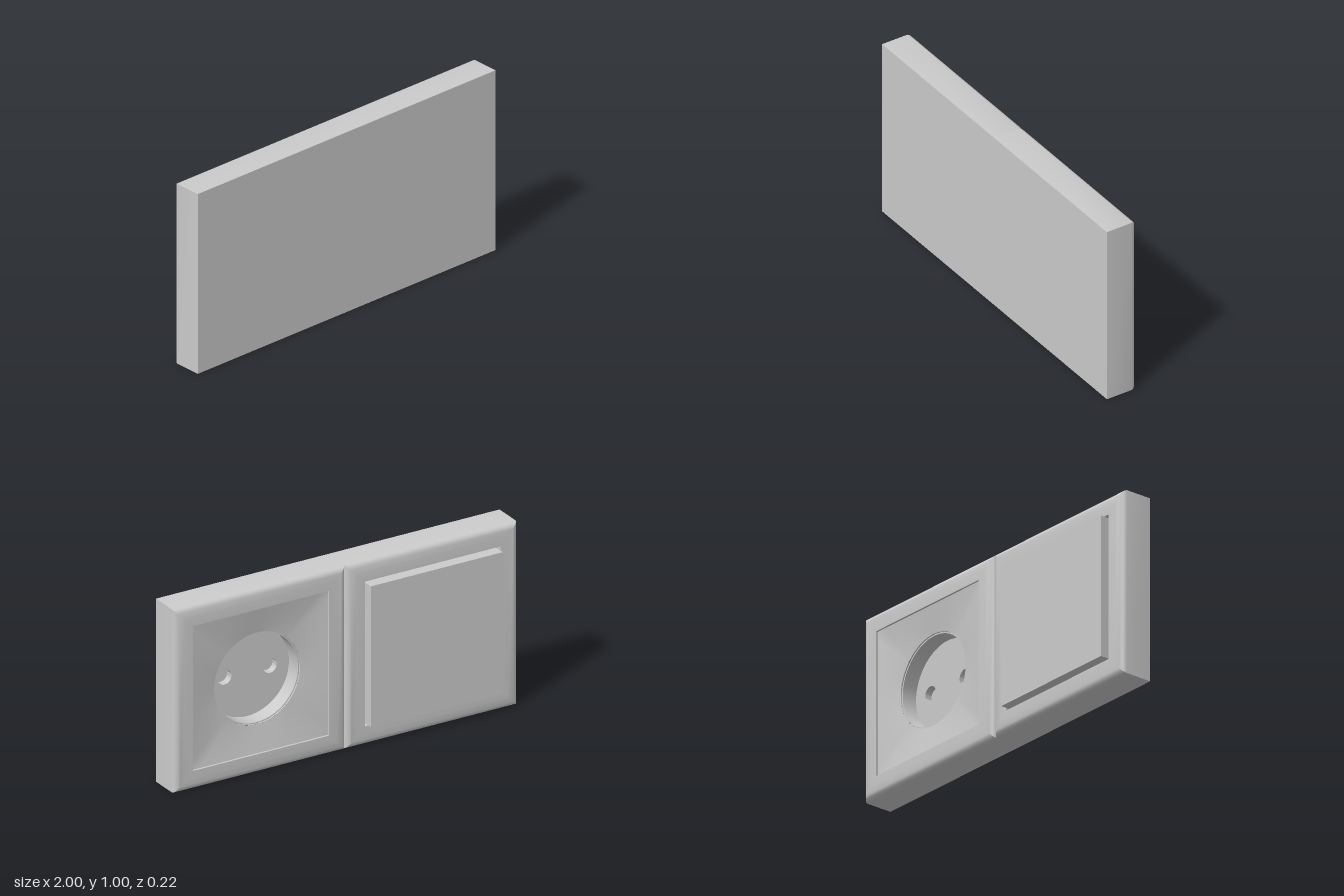
import * as THREE from 'three';
import { toCreasedNormals } from 'three/addons/utils/BufferGeometryUtils.js';

const material = new THREE.MeshStandardMaterial({ color: 0xcccccc });

function addMesh(parent, name, geometry, x = 0, y = 0, z = 0) {
  const mesh = new THREE.Mesh(geometry, material);
  mesh.name = name;
  mesh.position.set(x, y, z);
  parent.add(mesh);
  return mesh;
}

// Lathe around the z axis; profile points are [radius, z]
function latheZ(profile, segments, phiStart = 0) {
  const points = profile.map(([r, z]) => new THREE.Vector2(r, z));
  const geometry = new THREE.LatheGeometry(points, segments, phiStart);
  geometry.rotateX(Math.PI / 2);
  return toCreasedNormals(geometry, 0.55);
}

// Mitred square frame: a four-sided lathe, profile given as half-widths
function squareFrame(profile) {
  return latheZ(profile.map(([h, z]) => [h * Math.SQRT2, z]), 4, Math.PI / 4);
}

// Ruled surface from the square opening down to the round well
function dishGeometry(half, squareZ, radius, rimZ) {
  const geometry = new THREE.RingGeometry(1, 2, 96, 6);
  const pos = geometry.attributes.position;
  for (let i = 0; i < pos.count; i++) {
    const x = pos.getX(i), y = pos.getY(i);
    const r = Math.hypot(x, y), t = r - 1;
    const c = x / r, s = y / r;
    const squareR = half / Math.max(Math.abs(c), Math.abs(s));
    const d = THREE.MathUtils.lerp(radius, squareR, t);
    pos.setXYZ(i, c * d, s * d, THREE.MathUtils.lerp(rimZ, squareZ, t));
  }
  geometry.computeVertexNormals();
  return geometry;
}

export function createModel() {
  const model = new THREE.Group();
  model.name = 'socketAndSwitch';

  // Built with the detailed side towards +z, then turned to the rear
  const panel = new THREE.Group();
  panel.name = 'doublePanel';
  panel.rotation.y = Math.PI;
  model.add(panel);

  const half = 0.395;
  const frameProfile = [
    [0, -0.11], [0.5, -0.11], [0.5, 0.04], [0.497, 0.05], [0.488, 0.059],
    [0.472, 0.066], [0.44, 0.0695], [0.41, 0.071], [half, 0.071],
  ];

  // Socket unit
  const socket = new THREE.Group();
  socket.name = 'socket';
  socket.position.set(-0.5, 0.5, 0);
  panel.add(socket);
  addMesh(socket, 'socketFrame', squareFrame([...frameProfile, [half, 0.055]]));
  addMesh(socket, 'socketDish', dishGeometry(half, 0.06, 0.25, 0.033));

  // Round well with a narrow lip
  const floorZ = -0.06, wellR = 0.243;
  addMesh(socket, 'socketWell', latheZ(
    [[0.25, 0.033], [0.25, 0.026], [wellR, 0.026], [wellR, floorZ]], 64));

  // Well floor with two pin holes
  const pinX = 0.132, pinR = 0.04;
  const floor = new THREE.Shape().absarc(0, 0, wellR, 0, Math.PI * 2);
  for (const side of [-1, 1]) {
    floor.holes.push(new THREE.Path().absarc(side * pinX, 0, pinR, 0, Math.PI * 2, true));
    addMesh(socket, 'pinHole', latheZ(
      [[pinR, floorZ], [pinR, -0.1], [0, -0.1]], 32), side * pinX);
  }
  addMesh(socket, 'wellFloor', new THREE.ShapeGeometry(floor, 32), 0, 0, floorZ);

  // Switch unit with a raised rocker
  const lightSwitch = new THREE.Group();
  lightSwitch.name = 'switch';
  lightSwitch.position.set(0.5, 0.5, 0);
  panel.add(lightSwitch);
  addMesh(lightSwitch, 'switchFrame',
    squareFrame([...frameProfile, [half, 0.045], [0, 0.045]]));
  addMesh(lightSwitch, 'rocker',
    new THREE.BoxGeometry(0.768, 0.768, 0.07), -0.001, -0.002, 0.075);

  return model;
}
